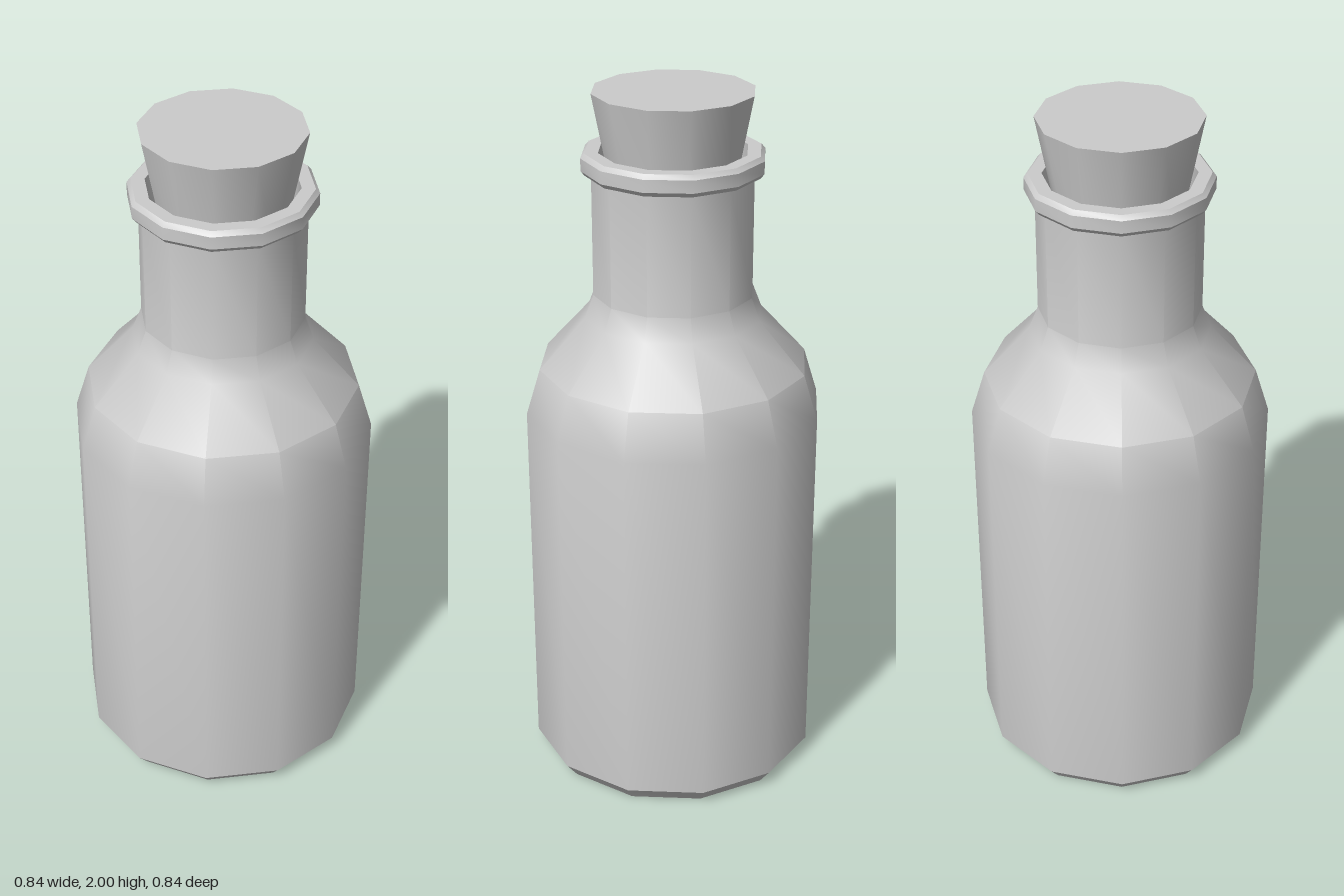
import * as THREE from 'three';
import { toCreasedNormals } from 'three/addons/utils/BufferGeometryUtils.js';

const SIDES = 12;

// Revolve a [radius, height] profile, smooth around the sides, sharp at hard edges
function turned(name, profile) {
  const points = profile.map(([r, y]) => new THREE.Vector2(r, y));
  const geometry = toCreasedNormals(new THREE.LatheGeometry(points, SIDES), THREE.MathUtils.degToRad(35));
  const mesh = new THREE.Mesh(geometry, new THREE.MeshStandardMaterial({ color: 0xcccccc }));
  mesh.name = name;
  return mesh;
}

export function createModel() {
  const group = new THREE.Group();
  group.name = 'corkedBottle';

  // Bottle: recessed base, body, shoulder, neck, lip and the inside of the neck
  group.add(turned('bottle', [
    [0, 0.075], [0.34, 0.075], [0.385, 0], [0.42, 0.045],
    [0.42, 1.1], [0.38, 1.23], [0.25, 1.375], [0.225, 1.44], [0.225, 1.78],
    [0.242, 1.78], [0.253, 1.793], [0.253, 1.828], [0.242, 1.84],
    [0.205, 1.84], [0.195, 1.6], [0, 1.6],
  ]));

  // Tapered stopper reaching down into the neck
  group.add(turned('stopper', [
    [0, 1.68], [0.16, 1.68], [0.222, 2], [0, 2],
  ]));

  return group;
}
